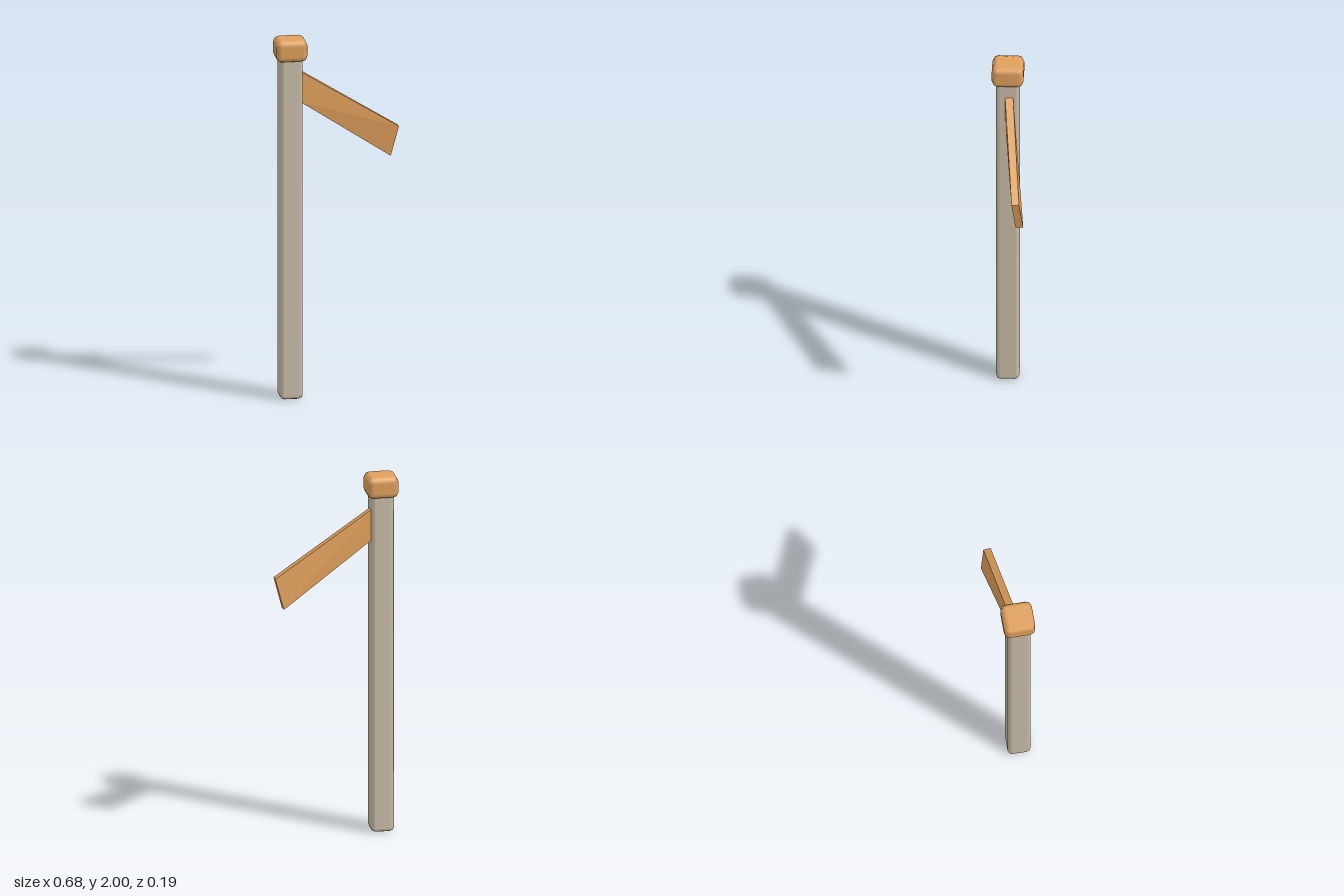
import * as THREE from 'three';
import { RoundedBoxGeometry } from 'three/addons/geometries/RoundedBoxGeometry.js';

const stone = new THREE.MeshStandardMaterial({ color: 0xcabda8 });
const orange = new THREE.MeshStandardMaterial({ color: 0xe0a05c });

// Upright block with softly bevelled edges, standing between two heights
function block(name, width, bottom, top, bevel, material) {
  const geometry = new RoundedBoxGeometry(width, top - bottom, width, 1, bevel);
  const mesh = new THREE.Mesh(geometry, material);
  mesh.name = name;
  mesh.position.set(-0.257, (bottom + top) / 2, 0.01);
  return mesh;
}

// Sloping board: a box whose corners are moved to a skewed, slightly twisted shape
function slopingBoard() {
  const ends = {
    // inner end inside the post: top front, top back, bottom front, bottom back
    inner: [[-0.205, 1.815, 0.024], [-0.205, 1.815, -0.019], [-0.205, 1.645, 0.023], [-0.205, 1.645, -0.021]],
    // free end
    outer: [[0.34, 1.47, -0.035], [0.337, 1.47, -0.075], [0.298, 1.302, -0.054], [0.295, 1.302, -0.096]],
  };
  const geometry = new THREE.BoxGeometry(1, 1, 1).toNonIndexed();
  const p = geometry.attributes.position;
  for (let i = 0; i < p.count; i++) {
    const end = p.getX(i) > 0 ? ends.outer : ends.inner;
    p.setXYZ(i, ...end[(p.getY(i) > 0 ? 0 : 2) + (p.getZ(i) > 0 ? 0 : 1)]);
  }
  geometry.computeVertexNormals();
  const mesh = new THREE.Mesh(geometry, orange);
  mesh.name = 'board';
  return mesh;
}

export function createModel() {
  const model = new THREE.Group();
  model.name = 'signPost';
  model.add(
    block('post', 0.124, 0, 1.92, 0.023, stone),
    block('cap', 0.17, 1.88, 2, 0.031, orange),
    slopingBoard(),
  );
  return model;
}
